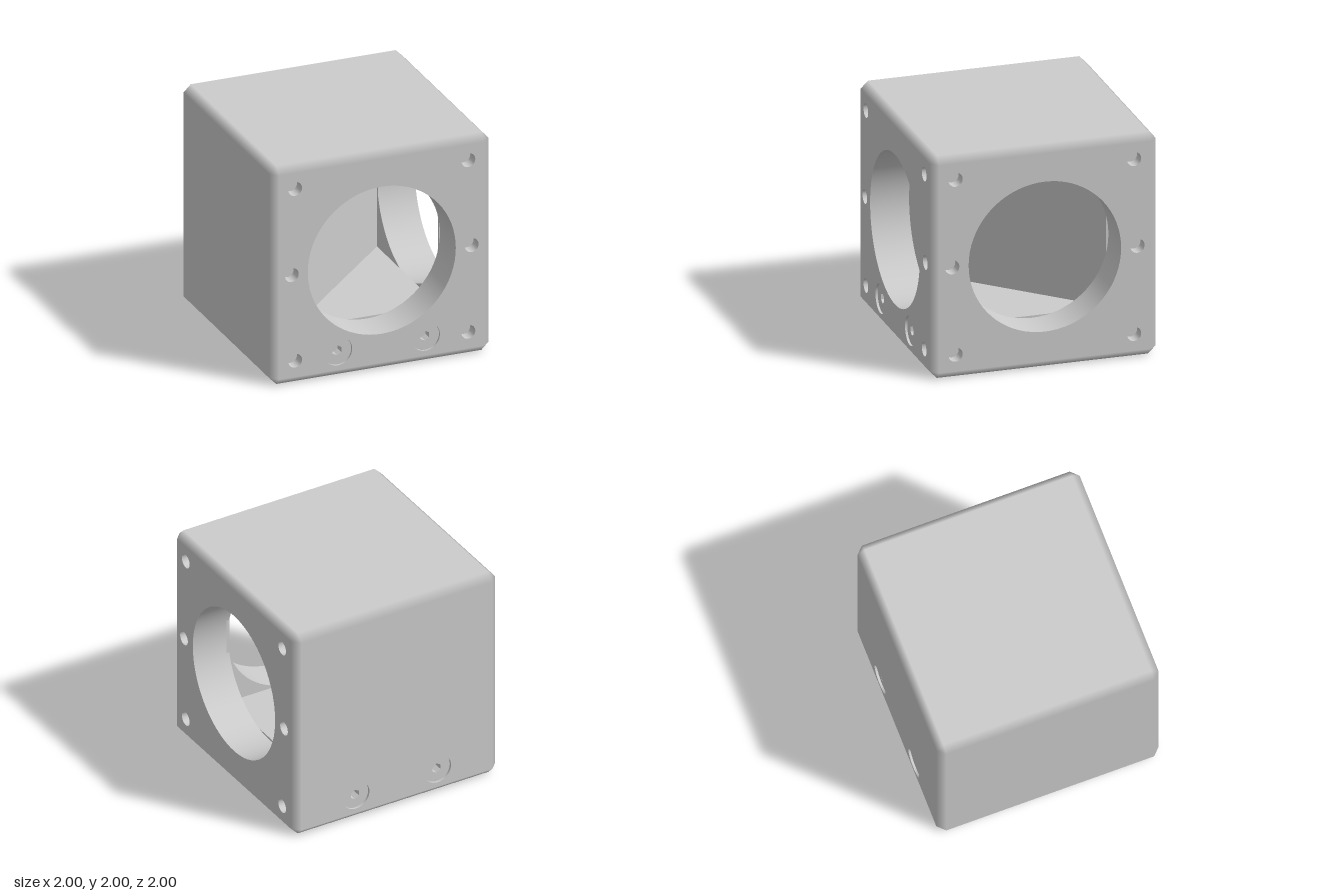
import * as THREE from 'three';

const BEVEL = 0.065, FLAT = 1 - BEVEL;      // chamfer and half width of each flat face
const BORE = 0.675, BORE_Y = 0.005;         // large port
const CAV = 0.655, MIRROR = -0.02;          // cavity half size, mirror plane x + z
const HOLE_R = 0.063, HOLE_DEPTH = 0.11;
const HEAD_R = 0.13, HEX_R = 0.046, RECESS = 0.02;

const solid = new THREE.MeshStandardMaterial({ color: 0xcccccc });
const inner = new THREE.MeshStandardMaterial({ color: 0xcccccc, side: THREE.BackSide });
const thin = new THREE.MeshStandardMaterial({ color: 0xcccccc, side: THREE.DoubleSide });
const socket = new THREE.MeshStandardMaterial({ color: 0xcccccc, side: THREE.BackSide, flatShading: true });

function add(parent, name, geometry, material, x = 0, y = 0, z = 0) {
  const mesh = new THREE.Mesh(geometry, material);
  mesh.name = name;
  mesh.position.set(x, y, z);
  parent.add(mesh);
  return mesh;
}

// Regular polygon outline, optionally clamped to a square
function ring(r, sides, x = 0, y = 0, limit = Infinity) {
  const clamp = v => Math.max(-limit, Math.min(limit, v));
  return Array.from({ length: sides }, (_, i) => {
    const t = Math.PI / 2 + i / sides * Math.PI * 2;
    return new THREE.Vector2(x + clamp(r * Math.cos(t)), y + clamp(r * Math.sin(t)));
  });
}

function square(h) {
  return [[-h, -h], [h, -h], [h, h], [-h, h]].map(p => new THREE.Vector2(...p));
}

function plate(outline, holes = []) {
  const shape = new THREE.Shape(outline);
  shape.holes = holes.map(h => new THREE.Path(h));
  return new THREE.ShapeGeometry(shape);
}

// Open tube running along z, its mouth at z = 0
function tube(r, depth, sides) {
  return new THREE.CylinderGeometry(r, r, depth, sides, 1, true)
    .rotateX(Math.PI / 2).translate(0, 0, -depth / 2);
}

// Chamfers on 12 edges and 8 corners; normals follow the adjoining faces
function bevelGeometry() {
  const pos = [], nor = [];
  const corner = (s, axis) => ({
    p: new THREE.Vector3(...s.map((v, i) => (i === axis ? v : v * FLAT))),
    n: new THREE.Vector3(...s.map((v, i) => (i === axis ? v : 0))),
  });
  const tri = (a, b, c) => {
    const n = b.p.clone().sub(a.p).cross(c.p.clone().sub(a.p));
    const order = n.dot(a.n.clone().add(b.n).add(c.n)) > 0 ? [a, b, c] : [a, c, b];
    for (const v of order) { pos.push(...v.p); nor.push(...v.n); }
  };
  for (const u of [-1, 1]) for (const v of [-1, 1]) {
    for (const w of [-1, 1]) tri(...[0, 1, 2].map(k => corner([u, v, w], k)));
    for (let a = 0; a < 3; a++) {
      const b = (a + 1) % 3, c = (a + 2) % 3;
      const s = w => { const q = []; q[a] = u; q[b] = v; q[c] = w; return q; };
      const [p, q, r, t] = [corner(s(-1), a), corner(s(1), a), corner(s(1), b), corner(s(-1), b)];
      tri(p, q, r);
      tri(p, r, t);
    }
  }
  const g = new THREE.BufferGeometry();
  g.setAttribute('position', new THREE.Float32BufferAttribute(pos, 3));
  g.setAttribute('normal', new THREE.Float32BufferAttribute(nor, 3));
  return g;
}

// One side of the cube, modelled facing +z
function makeSide(name, { port = false, holes = [], screws = [] }) {
  const side = new THREE.Group();
  side.name = name;
  const cuts = [
    ...holes.map(([x, y]) => ring(HOLE_R, 24, x, y)),
    ...screws.map(([x, y]) => ring(HEAD_R, 36, x, y)),
  ];
  if (port) cuts.push(ring(BORE, 72, 0, BORE_Y));
  add(side, 'facePlate', plate(square(FLAT), cuts), solid, 0, 0, 1);

  if (port) {
    add(side, 'portWall', tube(BORE, 1 - CAV, 72), inner, 0, BORE_Y, 1);
    add(side, 'portInnerWall', plate(square(0.68), [ring(BORE, 144, 0, 0, CAV)]), thin, 0, BORE_Y, CAV);
  }
  for (const [x, y] of holes) {
    add(side, 'boltHoleWall', tube(HOLE_R, HOLE_DEPTH, 24), inner, x, y, 1);
    add(side, 'boltHoleEnd', new THREE.CircleGeometry(HOLE_R, 24), solid, x, y, 1 - HOLE_DEPTH);
  }
  for (const [x, y] of screws) {
    const z = 1 - RECESS;
    add(side, 'counterbore', tube(HEAD_R, RECESS, 36), inner, x, y, 1);
    add(side, 'screwHead', plate(ring(HEAD_R, 36), [ring(HEX_R, 6)]), solid, x, y, z);
    add(side, 'hexSocket', tube(HEX_R, 0.08, 6), socket, x, y, z);
    add(side, 'hexSocketEnd', new THREE.CircleGeometry(HEX_R * 1.02, 24), solid, x, y, z - 0.08);
  }
  return side;
}

export function createModel() {
  const model = new THREE.Group();
  model.name = 'mirrorCube';
  const cube = new THREE.Group();
  cube.name = 'cube';
  cube.position.y = 1;
  model.add(cube);

  const holes = [];
  for (const s of [-1, 1]) holes.push([s * 0.79, 0.79], [s * 0.82, 0.005], [s * 0.79, -0.785]);
  const screws = [[-0.4, -0.762], [0.4, -0.762]];

  // Six sides: ports on the front and the model's left, screws front and back
  const H = Math.PI / 2;
  const sides = [
    ['frontSide', 0, 0, { port: true, holes, screws }],
    ['leftSide', 0, H, { port: true, holes }],
    ['backSide', 0, 2 * H, { screws }],
    ['rightSide', 0, -H, {}],
    ['topSide', -H, 0, {}],
    ['bottomSide', H, 0, { holes: [[0, 0]] }],
  ];
  for (const [name, rx, ry, options] of sides) {
    const side = makeSide(name, options);
    side.rotation.set(rx, ry, 0);
    cube.add(side);
  }
  add(cube, 'bevels', bevelGeometry(), solid);

  // Triangular cavity with the diagonal mirror wall
  const end = MIRROR - CAV;
  const triangle = [[end, -CAV], [CAV, -CAV], [CAV, -end]].map(p => new THREE.Vector2(...p));
  for (const [name, s] of [['cavityFloor', -1], ['cavityCeiling', 1]]) {
    add(cube, name, plate(triangle).rotateX(-H), thin, 0, BORE_Y + s * CAV, 0);
  }
  const mirror = new THREE.PlaneGeometry((CAV - end) * Math.SQRT2, 2 * CAV);
  add(cube, 'mirrorWall', mirror, thin, MIRROR / 2, BORE_Y, MIRROR / 2).rotation.y = H / 2;

  return model;
}
